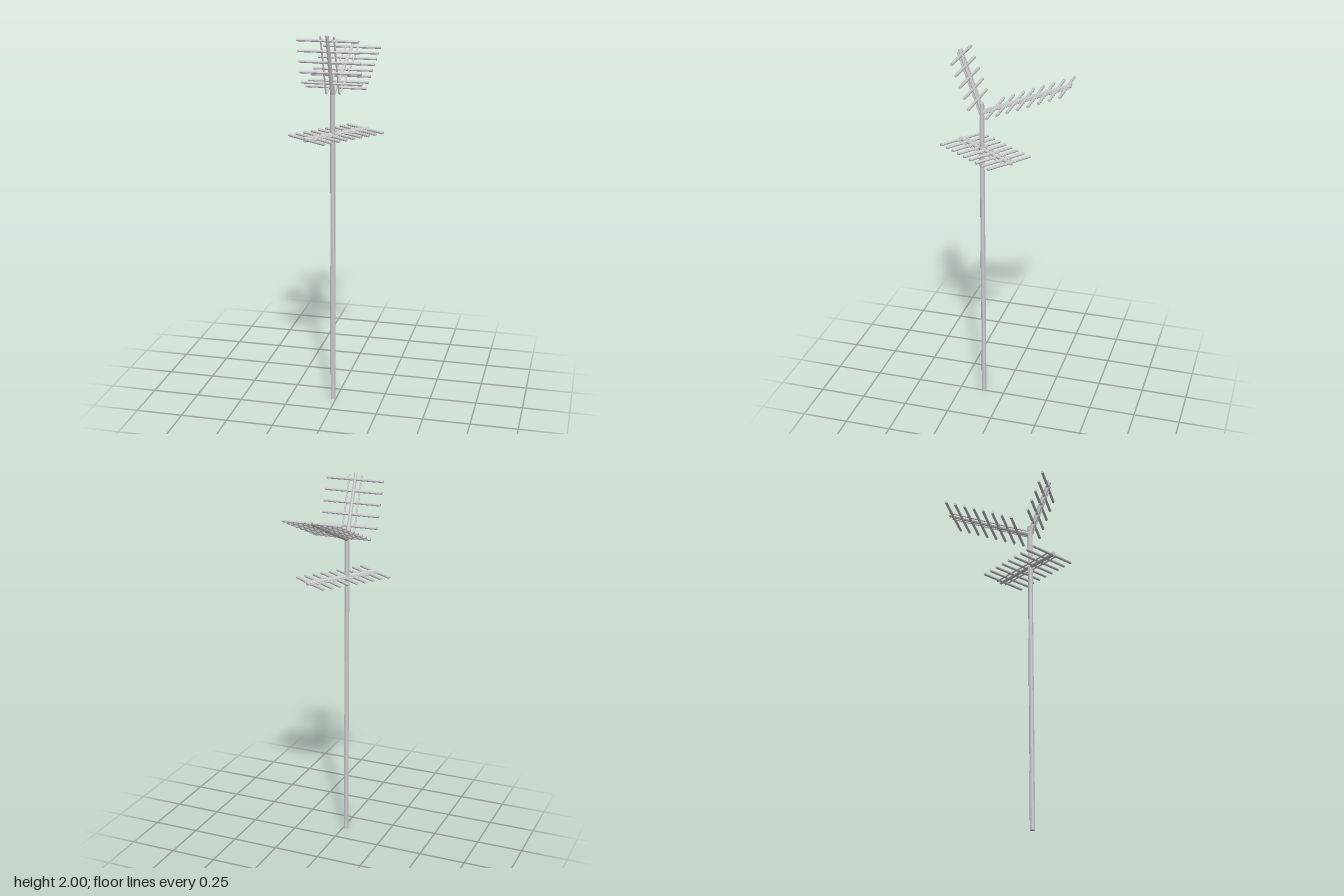
import * as THREE from 'three';

const material = new THREE.MeshStandardMaterial({ color: 0xcccccc, flatShading: true });

// Straight rod between two points, optionally tapered
function rod(name, a, b, r0, r1 = r0, sides = 8) {
  const dir = b.clone().sub(a);
  const mesh = new THREE.Mesh(new THREE.CylinderGeometry(r1, r0, dir.length(), sides), material);
  mesh.name = name;
  mesh.position.copy(a).add(b).multiplyScalar(0.5);
  mesh.quaternion.setFromUnitVectors(new THREE.Vector3(0, 1, 0), dir.normalize());
  return mesh;
}

// Tapered boom, two thin side rails and evenly spaced cross bars
function antenna({ name, start, end, across, bars, first, last, barLength, railGap, r0, r1 }) {
  const group = new THREE.Group();
  group.name = name;
  const a = new THREE.Vector3(...start), b = new THREE.Vector3(...end);
  const side = new THREE.Vector3(...across).normalize();
  group.add(rod('boom', a, b, r0, r1));
  for (const s of [-1, 1]) {
    const off = side.clone().multiplyScalar(s * railGap);
    group.add(rod('sideRail', a.clone().lerp(b, 0.02).add(off), b.clone().lerp(a, 0.01).add(off), 0.0042, 0.0042, 6));
  }
  for (let i = 0; i < bars; i++) {
    const c = a.clone().lerp(b, first + (last - first) * i / (bars - 1));
    const half = side.clone().multiplyScalar(barLength / 2);
    group.add(rod('crossBar', c.clone().sub(half), c.clone().add(half), 0.0075));
  }
  return group;
}

export function createModel() {
  const model = new THREE.Group();
  model.name = 'antennaMast';
  const x = -0.0155;

  model.add(rod('mast', new THREE.Vector3(x, 0, 0.119), new THREE.Vector3(x, 1.727, 0.119), 0.0135));

  // Long arm rising gently to the back
  model.add(antenna({
    name: 'backAntenna', start: [x, 1.68, 0.115], end: [x, 1.864, -0.343], across: [1, 0, 0],
    bars: 8, first: 0.148, last: 0.955, barLength: 0.315, railGap: 0.034, r0: 0.0125, r1: 0.009,
  }));
  // Short steep arm leaning to the front
  model.add(antenna({
    name: 'frontAntenna', start: [x, 1.68, 0.118], end: [x, 1.997, 0.233], across: [1, 0, 0],
    bars: 5, first: 0.2, last: 0.915, barLength: 0.315, railGap: 0.034, r0: 0.0125, r1: 0.009,
  }));
  // Nearly level arm, turned sideways lower on the mast
  model.add(antenna({
    name: 'lowerAntenna', start: [-0.124, 1.478, 0.271], end: [0.126, 1.473, -0.08], across: [0.225, 0, 0.16],
    bars: 9, first: 0.03, last: 0.95, barLength: 0.274, railGap: 0.03, r0: 0.0125, r1: 0.009,
  }));
  return model;
}
